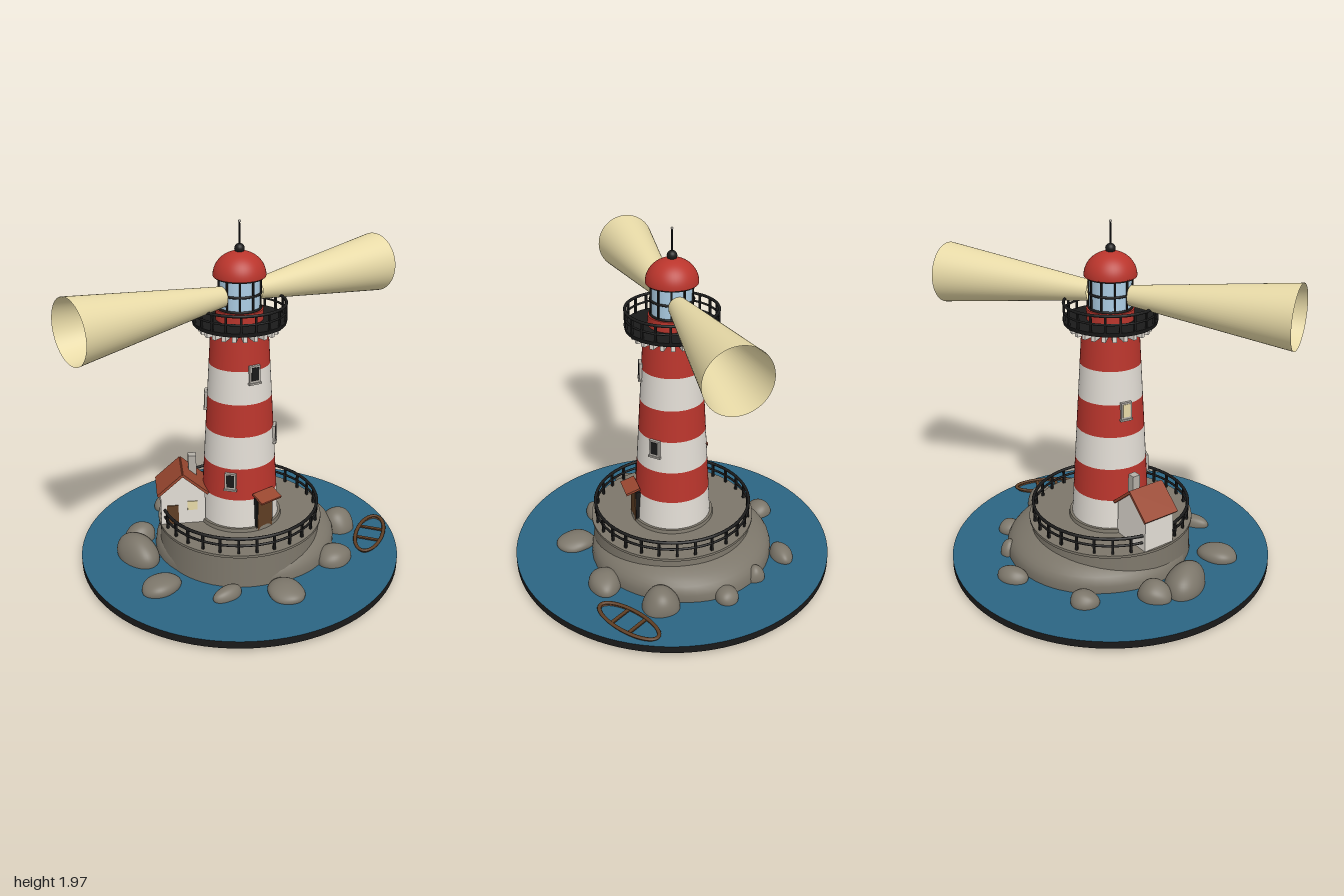
import * as THREE from 'three';

const mat = (name, color, side = THREE.FrontSide) => {
  const m = new THREE.MeshStandardMaterial({ color, side });
  m.name = name;
  return m;
};

export function createModel() {
  const water = mat('water', 0x2b6583), dark = mat('darkIron', 0x1a1a1a);
  const rock = mat('rock', 0x7c766a), white = mat('whitePaint', 0xe2ddd5);
  const red = mat('redPaint', 0xba352c), roof = mat('roofTile', 0x98462f);
  const wood = mat('wood', 0x5f3e24, THREE.DoubleSide), glass = mat('glass', 0xaccde4);
  const light = mat('warmLight', 0xeee0ac, THREE.DoubleSide), trim = mat('trimStone', 0xb4afa7);

  const model = new THREE.Group();
  model.name = 'lighthouse';
  const add = (name, geo, material, x = 0, y = 0, z = 0, parent = model) => {
    const m = new THREE.Mesh(geo, material);
    m.name = name;
    m.position.set(x, y, z);
    parent.add(m);
    return m;
  };
  const group = (name, x = 0, y = 0, z = 0, yaw = 0) => {
    const g = new THREE.Group();
    g.name = name;
    g.position.set(x, y, z);
    g.rotation.y = yaw;
    model.add(g);
    return g;
  };
  const box = (w, h, d) => new THREE.BoxGeometry(w, h, d);
  // Cylinder standing between two heights
  const drum = (name, rBottom, rTop, y0, y1, material, seg = 48, parent = model) =>
    add(name, new THREE.CylinderGeometry(rTop, rBottom, y1 - y0, seg), material, 0, (y0 + y1) / 2, 0, parent);
  const ring = (name, r, tube, y, parent) => {
    add(name, new THREE.TorusGeometry(r, tube, 8, 64), dark, 0, y, 0, parent).rotation.x = Math.PI / 2;
  };
  // Repeats a box around the vertical axis
  const around = (name, n, r, y, size, material, parent) => {
    for (let i = 0; i < n; i++) {
      const a = (i / n) * Math.PI * 2;
      add(name, box(...size), material, Math.sin(a) * r, y, Math.cos(a) * r, parent).rotation.y = a;
    }
  };

  // Sea disc: dark edge and underside, blue top
  drum('seaDisc', 0.92, 0.92, 0.018, 0.06, [dark, water, dark], 96);

  // Rock mound and boulders: bumpy spheres, squared off by a power and cut flat inside the sea disc
  const blob = (name, x, y, z, rx, ry, rz, seed, bump, power = 1) => {
    const g = new THREE.SphereGeometry(1, 48, 28), p = g.attributes.position;
    const v = new THREE.Vector3();
    for (let i = 0; i < p.count; i++) {
      v.fromBufferAttribute(p, i);
      const k = 1 + bump * (Math.sin(3.1 * v.x + seed) + Math.sin(3.7 * v.z + seed * 2.3) * Math.cos(2.9 * v.y + seed));
      const h = Math.sign(v.y) * Math.abs(v.y) ** power * k * ry;
      p.setXYZ(i, v.x * k * rx, Math.max(h, 0.035 - y), v.z * k * rz);
    }
    g.computeVertexNormals();
    add(name, g, rock, x, y, z);
  };
  blob('rockMound', 0.065, 0.065, -0.035, 0.545, 0.19, 0.515, 1.2, 0.022, 0.75);
  [
    [-0.12, -0.6, 0.08, 0.06, 0.07], [0.34, -0.56, 0.095, 0.055, 0.06], [0.49, -0.34, 0.045, 0.07, 0.055],
    [0.6, -0.13, 0.07, 0.06, 0.065], [-0.44, -0.395, 0.095, 0.08, 0.08], [-0.55, -0.235, 0.11, 0.115, 0.15],
    [-0.62, 0.11, 0.11, 0.06, 0.09], [-0.385, 0.39, 0.085, 0.05, 0.05], [-0.12, 0.56, 0.1, 0.05, 0.11],
    [0.31, 0.48, 0.11, 0.075, 0.09], [0.57, 0.23, 0.09, 0.11, 0.105],
  ].forEach(([x, z, rx, ry, rz], i) => blob('boulder', x, 0.07, z, rx, ry, rz, i * 1.7, 0.04));

  // Terrace with its railing
  drum('terrace', 0.465, 0.455, 0.06, 0.25, rock, 64);
  drum('terraceLip', 0.47, 0.47, 0.25, 0.265, rock, 64);
  const fence = group('terraceRailing');
  ring('fenceTopRail', 0.445, 0.009, 0.355, fence);
  ring('fenceMidRail', 0.445, 0.007, 0.312, fence);
  around('fencePost', 28, 0.445, 0.31, [0.013, 0.095, 0.013], dark, fence);

  // Striped tapering tower
  drum('towerPlinth', 0.24, 0.235, 0.262, 0.285, rock);
  const towerR = y => 0.222 - (y - 0.265) * 0.059;
  const bands = [0.265, 0.455, 0.642, 0.83, 1.016, 1.203, 1.392];
  for (let i = 0; i < 6; i++)
    drum('towerBand', towerR(bands[i]), towerR(bands[i + 1]), bands[i], bands[i + 1], i % 2 ? red : white);

  // Tower windows: angle from the front, height, pane material
  [[-0.18, 1.185, dark], [Math.PI / 4, 0.785, dark], [-0.9, 0.57, dark], [-2.25, 0.98, light]].forEach(([a, y, pane]) => {
    const r = towerR(y);
    const w = group('towerWindow', Math.sin(a) * r, y, Math.cos(a) * r, a);
    add('windowFrame', box(0.062, 0.1, 0.024), trim, 0, 0, 0, w);
    add('windowPane', box(0.043, 0.074, 0.006), pane, 0, 0.004, 0.012, w);
    add('windowSill', box(0.072, 0.01, 0.032), trim, 0, -0.05, 0.002, w);
  });

  // Entrance
  const entry = group('entrance', 0, 0.265, 0.21);
  add('doorFrame', box(0.112, 0.195, 0.032), dark, 0, 0.0975, 0.004, entry);
  add('doorLeaf', box(0.1, 0.185, 0.008), wood, 0, 0.0925, 0.02, entry);
  add('doorCanopy', box(0.14, 0.013, 0.085), roof, 0, 0.212, 0.038, entry).rotation.x = 0.32;

  // Keeper's house
  const house = group('keeperHouse', -0.285, 0.262, -0.17, -0.53);
  const gable = new THREE.Shape([[-0.125, 0], [0.125, 0], [0.125, 0.2], [0, 0.305], [-0.125, 0.2]]
    .map(([x, y]) => new THREE.Vector2(x, y)));
  add('houseWalls', new THREE.ExtrudeGeometry(gable, { depth: 0.19, bevelEnabled: false }), white, 0, 0, -0.095, house);
  for (const s of [-1, 1])
    add('houseRoof', box(0.188, 0.015, 0.222), roof, s * 0.07, 0.254, 0, house).rotation.z = -s * 0.72;
  add('chimney', box(0.045, 0.17, 0.045), trim, 0.064, 0.288, -0.031, house);
  add('houseDoor', box(0.066, 0.122, 0.008), wood, -0.06, 0.061, 0.096, house);
  add('houseWindow', box(0.055, 0.055, 0.008), light, 0.052, 0.115, 0.096, house);

  // Gallery on brackets
  around('galleryBracket', 24, 0.183, 1.408, [0.022, 0.046, 0.074], white);
  drum('galleryDeck', 0.25, 0.255, 1.425, 1.447, dark, 64);
  const gallery = group('galleryRailing');
  ring('galleryTopRail', 0.248, 0.008, 1.535, gallery);
  ring('galleryMidRail', 0.248, 0.006, 1.49, gallery);
  around('galleryPost', 20, 0.248, 1.49, [0.011, 0.1, 0.011], dark, gallery);

  // Lantern room
  const lantern = group('lanternRoom');
  drum('lanternBase', 0.128, 0.128, 1.445, 1.505, red, 48, lantern);
  drum('lanternGlass', 0.112, 0.112, 1.505, 1.68, glass, 48, lantern);
  [1.51, 1.59, 1.675].forEach(y => ring('lanternHoop', 0.114, 0.007, y, lantern));
  around('lanternMullion', 10, 0.114, 1.59, [0.01, 0.18, 0.01], dark, lantern);
  drum('eaves', 0.13, 0.13, 1.67, 1.682, dark, 48, lantern);
  add('dome', new THREE.SphereGeometry(0.14, 48, 20, 0, Math.PI * 2, 0, Math.PI / 2), red, 0, 1.682, 0, lantern)
    .scale.y = 0.91;
  drum('domeUnderside', 0.139, 0.14, 1.678, 1.683, red, 48, lantern);
  add('finialBall', new THREE.SphereGeometry(0.027, 20, 14), dark, 0, 1.822, 0, lantern);
  drum('mast', 0.005, 0.004, 1.84, 1.965, dark, 10, lantern);
  add('mastTip', new THREE.SphereGeometry(0.007, 10, 8), trim, 0, 1.963, 0, lantern);

  // Two open beams of light
  for (const s of [-1, 1])
    add('lightBeam', new THREE.CylinderGeometry(0.168, 0.054, 0.885, 64, 1, true), light, s * 0.5575, 1.584, 0)
      .rotation.z = -s * Math.PI / 2;

  // Rowing boat sitting in the water
  const boat = group('rowingBoat', 0.648, 0.078, 0.43, 0.59);
  add('boatHull', new THREE.SphereGeometry(1, 40, 12, 0, Math.PI * 2, Math.PI / 2, Math.PI / 2), wood, 0, 0, 0, boat)
    .scale.set(0.2, 0.078, 0.078);
  const rim = [];
  for (let i = 0; i < 32; i++) {
    const a = (i / 32) * Math.PI * 2;
    rim.push(new THREE.Vector3(Math.cos(a) * 0.2, 0, Math.sin(a) * 0.077));
  }
  add('boatRim', new THREE.TubeGeometry(new THREE.CatmullRomCurve3(rim, true), 64, 0.011, 8, true), wood, 0, 0, 0, boat)
    .scale.y = 0.7;
  for (const s of [-1, 1]) add('boatSeat', box(0.02, 0.008, 0.145), wood, s * 0.06, -0.004, 0, boat);

  return model;
}
